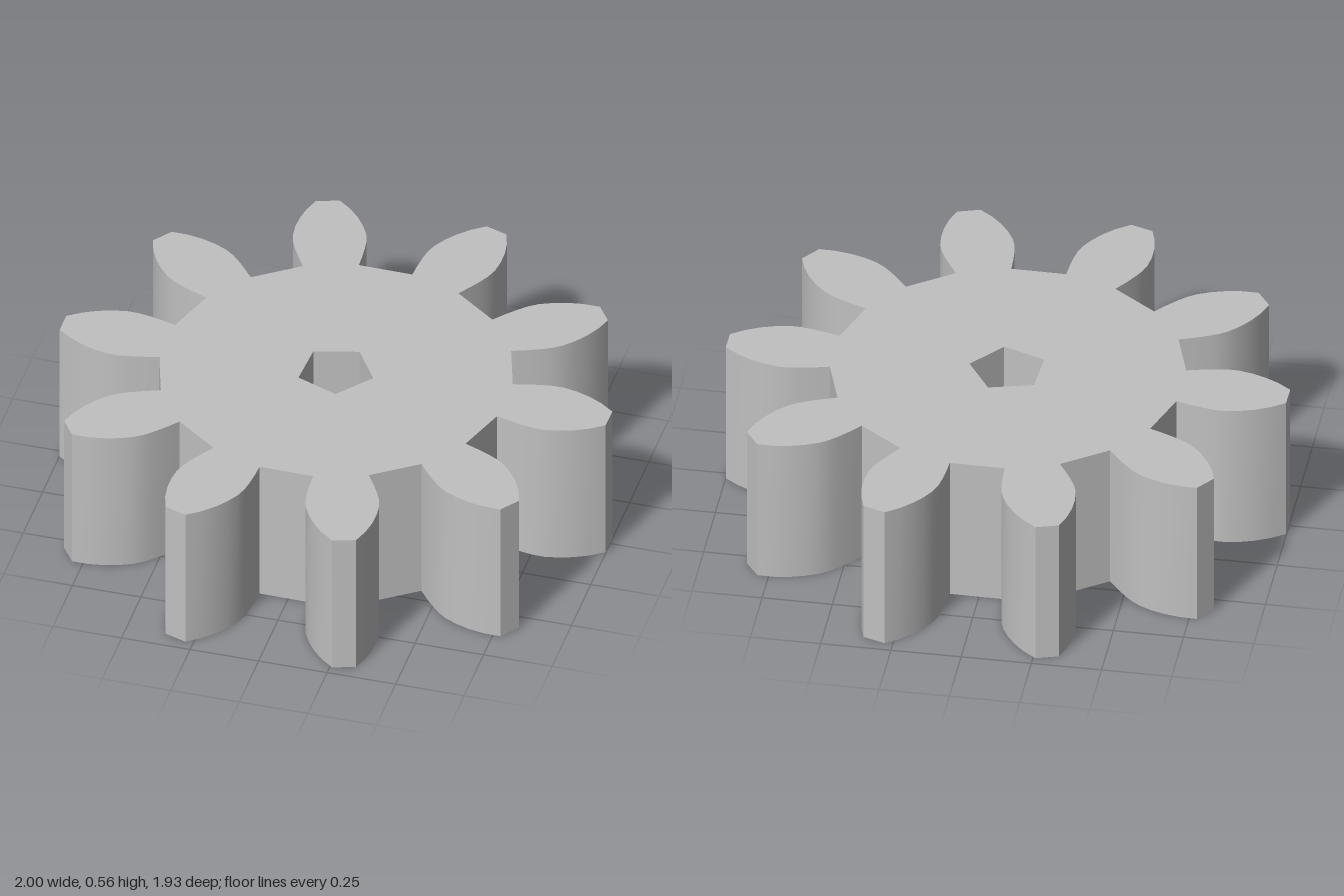
import * as THREE from 'three';
import { mergeVertices, toCreasedNormals } from 'three/addons/utils/BufferGeometryUtils.js';

const HEIGHT = 0.555;
const CAVITY_DEPTH = 0.37;
const deg = Math.PI / 180;

// Repeats one half-tooth profile [radial, sideways] around a ring, mirrored about each tooth's axis.
function toothRing(count, half, offset) {
  const tooth = [
    ...half.map(([r, w]) => [r, -w]),
    ...half.slice().reverse(),
  ];
  const points = [];
  for (let i = 0; i < count; i++) {
    const a = offset + (i / count) * Math.PI * 2;
    const c = Math.cos(a), s = Math.sin(a);
    for (const [r, w] of tooth) points.push(new THREE.Vector2(r * c - w * s, r * s + w * c));
  }
  return points;
}

// Vertical wall following a closed counter-clockwise outline.
function wall(outline, y0, y1, inward) {
  const pts = inward ? outline.slice().reverse() : outline;
  const pos = [];
  pts.forEach((p, i) => {
    const q = pts[(i + 1) % pts.length];
    pos.push(p.x, y0, -p.y, q.x, y0, -q.y, q.x, y1, -q.y);
    pos.push(p.x, y0, -p.y, q.x, y1, -q.y, p.x, y1, -p.y);
  });
  const g = new THREE.BufferGeometry();
  g.setAttribute('position', new THREE.Float32BufferAttribute(pos, 3));
  return toCreasedNormals(mergeVertices(g), 27 * deg);
}

// Flat horizontal face with a hole, facing up or down.
function cap(outline, hole, y, down) {
  const shape = new THREE.Shape(outline);
  shape.holes.push(new THREE.Path(hole));
  const g = new THREE.ShapeGeometry(shape);
  g.rotateX(-Math.PI / 2);
  g.translate(0, y, 0);
  if (down) {
    g.index.array.reverse();
    g.computeVertexNormals();
  }
  return g;
}

export function createModel() {
  const group = new THREE.Group();
  group.name = 'gear';
  const grey = new THREE.MeshStandardMaterial({ color: 0xc0c0c0 });
  grey.name = 'plain grey';

  // Ten broad outer teeth, narrowest at the root
  const outer = toothRing(10, [
    [0.618, 0.098], [0.67, 0.112], [0.72, 0.123], [0.76, 0.129], [0.80, 0.129],
    [0.85, 0.119], [0.90, 0.102], [0.95, 0.077], [0.999, 0.042],
  ], -0.6 * deg);

  // Twelve-toothed socket in the underside
  const socket = toothRing(12, [
    [0.40, 0.088], [0.435, 0.078], [0.47, 0.063], [0.50, 0.043], [0.522, 0.018],
  ], 0);

  // Five-sided shaft hole
  const shaft = [];
  for (let i = 0; i < 5; i++) {
    const a = (-3 + i * 72) * deg;
    shaft.push(new THREE.Vector2(0.138 * Math.cos(a), 0.138 * Math.sin(a)));
  }

  const parts = {
    outerTeeth: wall(outer, 0, HEIGHT, false),
    topFace: cap(outer, shaft, HEIGHT, false),
    bottomFace: cap(outer, socket, 0, true),
    socketWall: wall(socket, 0, CAVITY_DEPTH, true),
    socketCeiling: cap(socket, shaft, CAVITY_DEPTH, true),
    shaftHole: wall(shaft, CAVITY_DEPTH, HEIGHT, true),
  };
  for (const [name, geometry] of Object.entries(parts)) {
    const mesh = new THREE.Mesh(geometry, grey);
    mesh.name = name;
    group.add(mesh);
  }
  return group;
}
